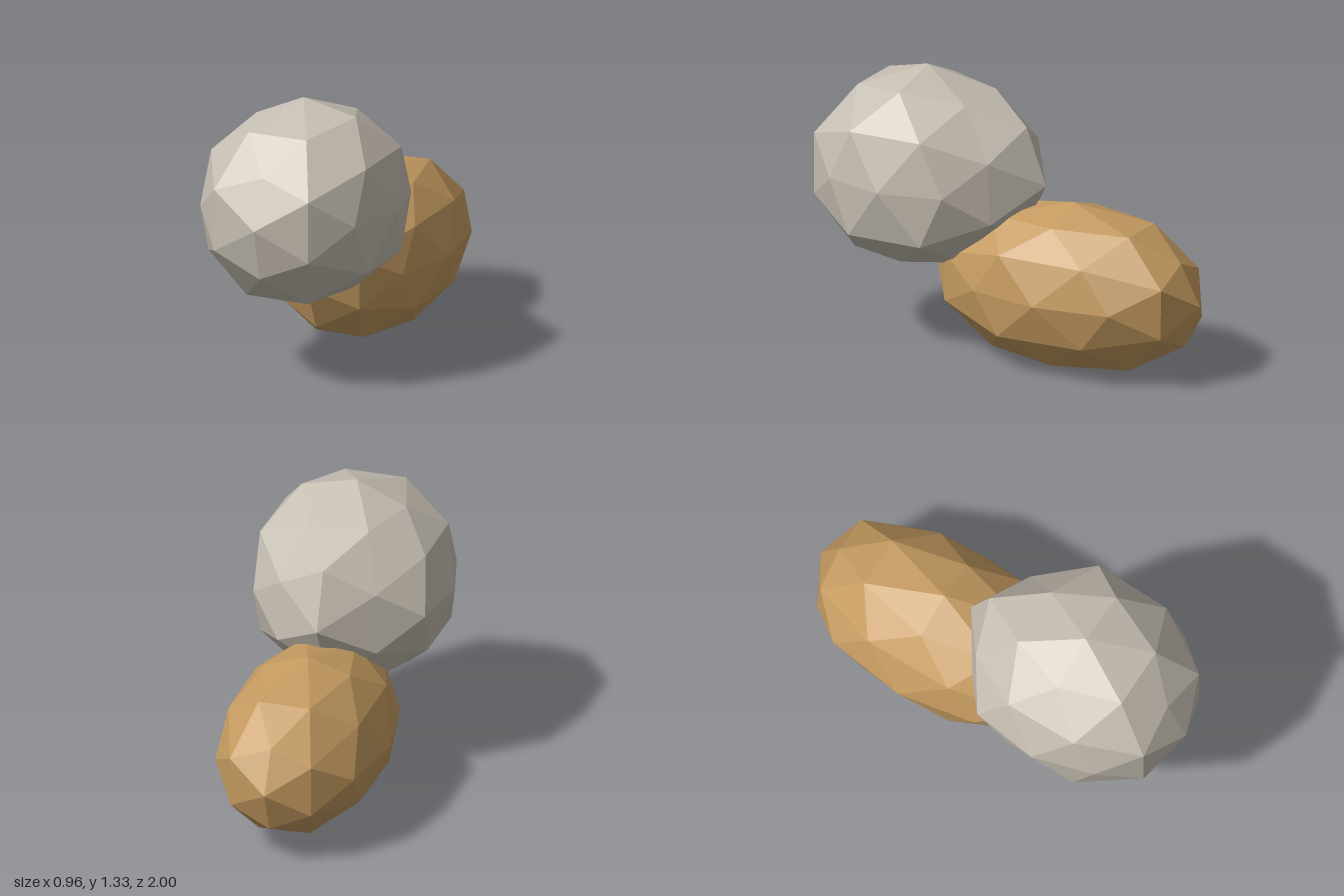
import * as THREE from 'three';

// A faceted boulder: a stretched icosphere whose corners are pushed in or out.
// Each bump is [direction x, y, z, radius factor]; other corners keep factor 1.
function boulder(name, material, center, radii, bumps) {
  const geometry = new THREE.IcosahedronGeometry(1, 1);
  const dents = bumps.map(([x, y, z, f]) => ({ dir: new THREE.Vector3(x, y, z).normalize(), f }));
  const pos = geometry.attributes.position;
  const scale = new THREE.Vector3(...radii);
  const v = new THREE.Vector3();
  for (let i = 0; i < pos.count; i++) {
    v.fromBufferAttribute(pos, i).normalize();
    const dent = dents.find((d) => d.dir.dot(v) > 0.98);
    v.multiplyScalar(dent ? dent.f : 1).multiply(scale);
    pos.setXYZ(i, v.x, v.y, v.z);
  }
  geometry.computeVertexNormals(); // unshared corners give flat facets
  const mesh = new THREE.Mesh(geometry, material);
  mesh.name = name;
  mesh.position.set(...center);
  return mesh;
}

export function createModel() {
  const grey = new THREE.MeshStandardMaterial({ color: 0xc6beb2 });
  grey.name = 'warm grey';
  const tan = new THREE.MeshStandardMaterial({ color: 0xc49a60 });
  tan.name = 'tan brown';

  const group = new THREE.Group();
  group.name = 'stackedBoulders';

  // Raised front boulder
  group.add(boulder('upperBoulder', grey, [-0.005, 0.84, 0.45], [0.48, 0.48, 0.58], [
    [0, 1, 0, 1.03], [0, -1, 0, 0.98], [0, 0, 1, 0.95], [0, 0, -1, 1.086], [-1, 0, 0, 0.99],
    [0, 0.53, 0.85, 0.91], [0, -0.53, 0.85, 0.99], [0, 0.53, -0.85, 1.07],
    [0.53, 0.85, 0, 1.06], [-0.53, 0.85, 0, 0.95], [0.53, -0.85, 0, 0.985],
    [0.81, 0.5, 0.31, 1.04], [0.81, 0.5, -0.31, 1.06],
    [0.81, -0.5, 0.31, 1.06], [0.81, -0.5, -0.31, 1.06],
    [-0.81, -0.5, 0.31, 1.03], [-0.81, -0.5, -0.31, 1.02],
    [0.31, -0.81, 0.5, 1.04], [-0.31, -0.81, 0.5, 1.03], [0.31, 0.81, -0.5, 0.97], [-0.31, 0.81, -0.5, 0.97],
    [0.85, 0, 0.53, 0.975], [-0.85, 0, 0.53, 0.96], [-0.85, 0, -0.53, 1.055],
    [0.5, 0.31, -0.81, 0.96], [-0.5, 0.31, -0.81, 0.97],
  ]));

  // Long boulder lying behind and below
  group.add(boulder('lowerBoulder', tan, [-0.007, 0.386, -0.324], [0.39, 0.39, 0.71], [
    [0, 1, 0, 1.03], [0, -1, 0, 0.99], [0, 0, 1, 1.02], [0, 0, -1, 0.952], [1, 0, 0, 0.99], [-1, 0, 0, 1.025],
    [0, 0.53, -0.85, 0.95], [0, -0.53, -0.85, 0.99], [0, -0.53, 0.85, 1.045],
    [0.31, 0.81, -0.5, 1.03], [-0.31, 0.81, -0.5, 1.02],
    [0.31, -0.81, -0.5, 1.03], [-0.31, -0.81, -0.5, 1.02],
    [0.31, -0.81, 0.5, 1.03], [-0.31, -0.81, 0.5, 1.02],
    [-0.53, -0.85, 0, 0.94], [0.53, -0.85, 0, 1.017],
    [-0.81, -0.5, 0.31, 1.03], [-0.81, -0.5, -0.31, 1.01], [0.81, -0.5, 0.31, 1.02],
    [-0.85, 0, -0.53, 1.045], [0.85, 0, 0.53, 0.95],
    [-0.5, 0.31, -0.81, 0.975], [0.5, 0.31, -0.81, 1.01],
  ]));
  return group;
}
